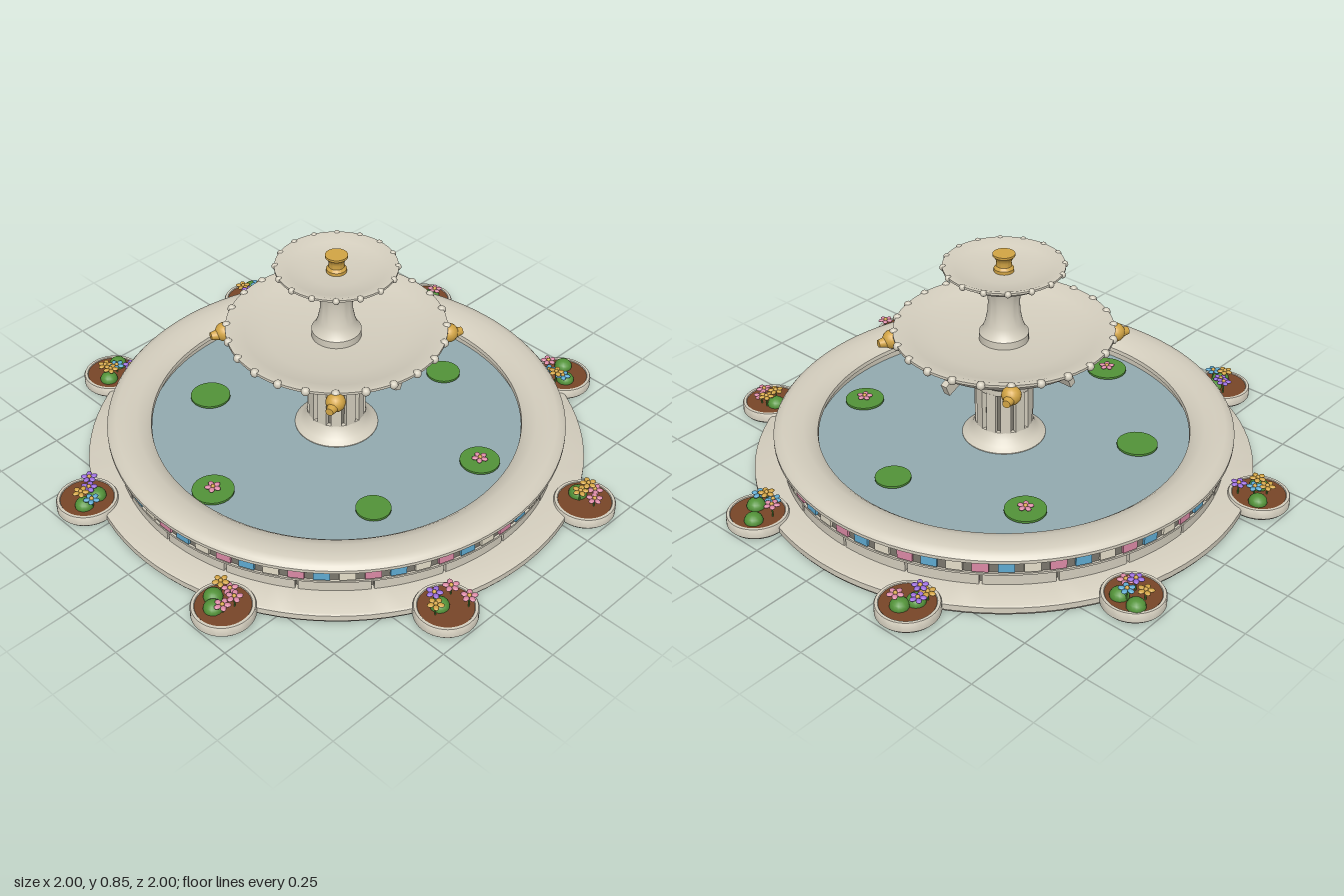
import * as THREE from 'three';
import { toCreasedNormals } from 'three/addons/utils/BufferGeometryUtils.js';

const mat = (name, color) => new THREE.MeshStandardMaterial({ name, color });

export function createModel() {
  const M = {
    stone: mat('stone', 0xd4cebe), joint: mat('jointStone', 0x7b776d), water: mat('water', 0x93abb0),
    green: mat('leafGreen', 0x539339), soil: mat('soil', 0x784628), gold: mat('gold', 0xd3a545),
    pink: mat('pink', 0xdc8aa6), blue: mat('blue', 0x5fabd2), purple: mat('purple', 0x9a6cdc),
    cream: mat('cream', 0xe6dfca),
  };
  const root = new THREE.Group();
  root.name = 'fountain';

  const add = (parent, name, geo, m, x = 0, y = 0, z = 0) => {
    const mesh = new THREE.Mesh(geo, m);
    mesh.name = name;
    mesh.position.set(x, y, z);
    parent.add(mesh);
    return mesh;
  };
  const group = (parent, name, x = 0, y = 0, z = 0) => {
    const g = new THREE.Group();
    g.name = name;
    g.position.set(x, y, z);
    parent.add(g);
    return g;
  };
  // profile runs from the underside, up the outside, then inward
  const lathe = (pts, seg = 72) =>
    toCreasedNormals(new THREE.LatheGeometry(pts.map(p => new THREE.Vector2(...p)), seg), 0.6);
  const around = (n, fn, start = 0) => {
    for (let i = 0; i < n; i++) fn(start + (i * 2 * Math.PI) / n, i);
  };

  // dark footing and plinth
  add(root, 'footing', lathe([[0, 0], [0.92, 0], [0.92, 0.01]], 96), M.joint);
  add(root, 'plinth', lathe([[0.9, 0.009], [0.926, 0.009], [0.926, 0.031], [0.918, 0.036], [0.79, 0.041]], 96), M.stone);

  // basin wall and its rounded coping
  add(root, 'basinWall', lathe([[0.8, 0.03], [0.8, 0.09], [0.818, 0.09], [0.818, 0.14]], 96), M.joint);
  add(root, 'coping', lathe([[0.8, 0.138], [0.835, 0.138], [0.848, 0.148], [0.848, 0.16], [0.838, 0.172],
    [0.815, 0.18], [0.78, 0.181], [0.74, 0.177], [0.705, 0.165], [0.687, 0.15], [0.685, 0.135], [0.7, 0.13], [0.7, 0.06]], 96), M.stone);
  add(root, 'bandLedge', lathe([[0.79, 0.084], [0.826, 0.084], [0.826, 0.092], [0.815, 0.092]], 96), M.stone);

  // curved wall blocks with narrow gaps
  const half = Math.PI / 20 - 0.006;
  const sector = new THREE.Shape();
  sector.absarc(0, 0, 0.818, -half, half, false);
  sector.absarc(0, 0, 0.79, half, -half, true);
  const blockGeo = new THREE.ExtrudeGeometry(sector, { depth: 0.046, bevelEnabled: false, curveSegments: 6 });
  blockGeo.rotateX(-Math.PI / 2);
  const blocks = group(root, 'wallBlocks');
  around(20, a => { add(blocks, 'wallBlock', blockGeo, M.stone, 0, 0.038, 0).rotation.y = a; }, Math.PI / 20);

  // mosaic band
  const tileGeo = new THREE.BoxGeometry(0.056, 0.034, 0.009);
  const tileColours = [M.pink, M.blue, M.cream];
  const tiles = group(root, 'mosaicBand');
  around(60, (a, i) => {
    add(tiles, 'mosaicTile', tileGeo, tileColours[i % 3], 0.823 * Math.sin(a), 0.115, 0.823 * Math.cos(a)).rotation.y = a;
  });

  // water surface
  add(root, 'water', new THREE.CircleGeometry(0.705, 72).rotateX(-Math.PI / 2), M.water, 0, 0.105, 0);

  // flower with five petals and a round centre
  const petalGeo = new THREE.SphereGeometry(0.013, 8, 6).scale(1, 0.45, 0.8);
  const heartGeo = new THREE.SphereGeometry(0.008, 8, 6);
  const flower = (parent, x, y, z, m, turn) => {
    const f = group(parent, 'flower', x, y, z);
    around(5, a => {
      add(f, 'petal', petalGeo, m, 0.018 * Math.cos(a), 0, -0.018 * Math.sin(a)).rotation.y = a;
    }, turn);
    add(f, 'flowerHeart', heartGeo, M.gold, 0, 0.003, 0);
  };

  // lily pads, some in bloom
  const pads = [[0.088, -0.495, 0.065, 0], [-0.39, -0.33, 0.075, 1], [0.535, -0.2, 0.073, 1],
    [-0.435, 0.245, 0.075, 0], [0.442, 0.255, 0.063, 0], [-0.022, 0.59, 0.076, 1]];
  for (const [x, z, r, bloom] of pads) {
    const pad = group(root, 'lilyPad', x, 0.116, z);
    add(pad, 'padLeaf', new THREE.CylinderGeometry(r, r, 0.008, 32), M.green);
    if (bloom) flower(pad, 0, 0.014, 0, M.pink, 0.3);
  }

  // fluted pedestal
  add(root, 'pedestalFoot', lathe([[0.155, 0.095], [0.155, 0.108], [0.135, 0.122], [0.117, 0.14], [0.107, 0.165], [0.08, 0.165]], 48), M.stone);
  add(root, 'pedestalCore', new THREE.CylinderGeometry(0.092, 0.092, 0.2, 40, 1, true), M.joint, 0, 0.25, 0);
  const ribGeo = new THREE.BoxGeometry(0.037, 0.17, 0.026);
  around(12, a => {
    add(root, 'pedestalRib', ribGeo, M.stone, 0.094 * Math.sin(a), 0.24, 0.094 * Math.cos(a)).rotation.y = a;
  }, Math.PI / 12);
  add(root, 'capital', lathe([[0.09, 0.322], [0.107, 0.322], [0.108, 0.345], [0.125, 0.36], [0.15, 0.382], [0.163, 0.4],
    [0.163, 0.415], [0.14, 0.42], [0.13, 0.45]], 48), M.stone);

  // lower bowl with its slanted brackets
  add(root, 'lowerBowl', lathe([[0, 0.43], [0.15, 0.43], [0.21, 0.44], [0.28, 0.462], [0.34, 0.495], [0.38, 0.533], [0.398, 0.54],
    [0.398, 0.55], [0.38, 0.551], [0.33, 0.532], [0.25, 0.518], [0.15, 0.508], [0, 0.505]]), M.stone);
  const bracketGeo = new THREE.BoxGeometry(0.026, 0.046, 0.13);
  around(8, a => {
    const b = add(root, 'bowlBracket', bracketGeo, M.stone, 0.25 * Math.sin(a), 0.453, 0.25 * Math.cos(a));
    b.rotation.set(-0.4, a, 0);
  });

  // stem and upper bowl
  add(root, 'stem', lathe([[0.09, 0.5], [0.09, 0.535], [0.078, 0.55], [0.068, 0.575], [0.059, 0.62], [0.057, 0.66],
    [0.062, 0.71], [0.072, 0.735], [0.072, 0.75]], 40), M.stone);
  add(root, 'upperBowl', lathe([[0, 0.735], [0.075, 0.735], [0.12, 0.745], [0.165, 0.762], [0.2, 0.788], [0.217, 0.795],
    [0.217, 0.803], [0.205, 0.804], [0.17, 0.79], [0.1, 0.78], [0, 0.777]]), M.stone);

  // rim beads
  const beads = (n, r, y, size) => {
    const geo = new THREE.SphereGeometry(size, 12, 8);
    around(n, a => add(root, 'rimBead', geo, M.stone, r * Math.sin(a), y, r * Math.cos(a)));
  };
  beads(24, 0.394, 0.543, 0.016);
  beads(16, 0.214, 0.797, 0.012);

  // gold finial
  add(root, 'finial', lathe([[0.036, 0.777], [0.036, 0.79], [0.028, 0.8], [0.027, 0.815], [0.031, 0.828], [0.04, 0.838],
    [0.04, 0.846], [0, 0.846]], 32), M.gold);

  // gold spout heads on the lower bowl
  const headGeo = new THREE.SphereGeometry(0.035, 16, 12);
  const spoutGeo = new THREE.CylinderGeometry(0.014, 0.024, 0.045, 14).rotateX(Math.PI / 2);
  for (const sx of [-1, 1]) for (const sz of [-1, 1]) {
    const s = group(root, 'spout', 0.284 * sx, 0.515, 0.284 * sz);
    s.rotation.y = Math.atan2(0.4 * sx, sz);
    add(s, 'spoutHead', headGeo, M.gold);
    add(s, 'spoutMouth', spoutGeo, M.gold, 0, -0.006, 0.03);
  }

  // planters: shrub and flower offsets in hundredths
  const { pink, purple, blue, gold } = M;
  const beds = [
    { shrubs: [[-5, 0], [-1, 3.5]], blooms: [[pink, -1.5, -4.5], [pink, 3, -2.5], [pink, 2.3, 2.2], [gold, -5.5, -4]] },
    { shrubs: [[-1.5, 1.5]], blooms: [[pink, -2.7, -5.3], [pink, 5.3, -5.3], [purple, -4.5, 1], [gold, 0, 5.3]] },
    { shrubs: [[-4, -1]], blooms: [[gold, -2, -4], [pink, 4, 0], [gold, -1.5, 1.2], [pink, 1, -4]] },
    { shrubs: [[-3, -4.3], [3, 2]], blooms: [[pink, -5.8, 2], [blue, -2.6, 5.3], [gold, 1, 5.5], [blue, 3.5, 4.5]] },
    { shrubs: [[0.5, -3.2], [-2, 2]], blooms: [[purple, -3.8, 1], [pink, 2.2, -3.2], [gold, -4.2, 5.2], [purple, -1, 5]] },
    { shrubs: [[-4.8, -5], [2.6, -4.2]], blooms: [[gold, -4.8, 0], [purple, 0.5, 1.6], [pink, 3.4, 0], [blue, -0.5, -4.5]] },
    { shrubs: [[-2.6, -4.8], [2.6, 3.7]], blooms: [[purple, 5.8, -4.8], [gold, -2.2, 1.6], [gold, 2.4, 2.4], [blue, 1, -1.6]] },
    { shrubs: [[1.6, -3.2], [2.6, 3.2]], blooms: [[purple, -3.7, -4.3], [purple, -0.5, -1.6], [gold, 0.5, 2.7], [blue, 5.3, 1.6]] },
  ];
  const potGeo = lathe([[0.095, 0.004], [0.104, 0.004], [0.111, 0.012], [0.111, 0.042], [0.108, 0.047], [0.098, 0.047],
    [0.095, 0.042], [0.095, 0.004]], 40);
  const soilGeo = new THREE.CylinderGeometry(0.096, 0.096, 0.012, 40);
  const shrubGeo = new THREE.SphereGeometry(0.034, 14, 10).scale(1, 0.85, 1);
  const stalkGeo = new THREE.CylinderGeometry(0.003, 0.003, 0.05, 6);
  around(8, (a, i) => {
    const p = group(root, 'planter', 0.963 * Math.sin(a), 0, 0.963 * Math.cos(a));
    add(p, 'planterRing', potGeo, M.stone);
    add(p, 'planterSoil', soilGeo, M.soil, 0, 0.038, 0);
    for (const [x, z] of beds[i].shrubs) add(p, 'shrub', shrubGeo, M.green, x / 100, 0.048, z / 100);
    beds[i].blooms.forEach(([m, x, z], k) => {
      const y = 0.078 + 0.005 * ((i + 2 * k) % 4);
      add(p, 'stalk', stalkGeo, M.green, x / 100, y - 0.025, z / 100);
      flower(p, x / 100, y, z / 100, m, k);
    });
  }, Math.PI / 8);

  return root;
}
